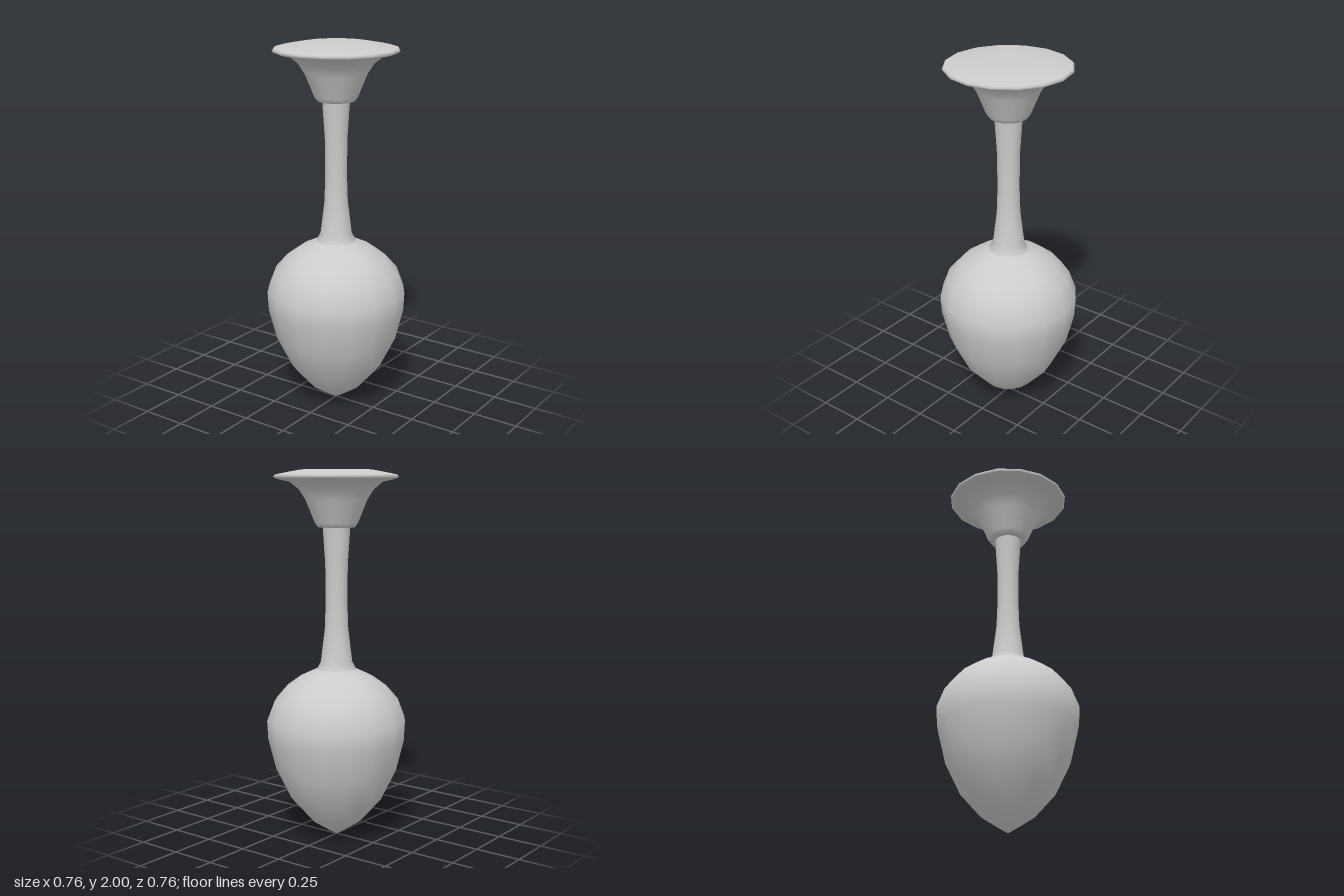
import * as THREE from 'three';

const SIDES = 16;

export function createModel() {
  const group = new THREE.Group();
  const material = new THREE.MeshStandardMaterial({ color: 0xcccccc, side: THREE.DoubleSide });

  // Turns a [radius, height] profile around the vertical axis
  const turned = (name, profile) => {
    const points = profile.map(([r, y]) => new THREE.Vector2(r, y));
    const mesh = new THREE.Mesh(new THREE.LatheGeometry(points, SIDES), material);
    mesh.name = name;
    group.add(mesh);
  };

  // Pointed egg-shaped body
  turned('bulb', [
    [0, 0], [0.05, 0.03], [0.14, 0.09], [0.25, 0.215], [0.333, 0.385], [0.375, 0.555],
    [0.38, 0.655], [0.34, 0.76], [0.275, 0.835], [0.2, 0.89], [0.106, 0.935],
  ]);

  // Slender waisted stem
  turned('neck', [
    [0.106, 0.935], [0.086, 0.975], [0.064, 1.155], [0.059, 1.3], [0.061, 1.5], [0.074, 1.695],
  ]);

  // Trumpet-shaped flare with a thin rim
  turned('flare', [
    [0.074, 1.695], [0.1, 1.697], [0.116, 1.72], [0.165, 1.84], [0.2, 1.895], [0.25, 1.935],
    [0.3, 1.945], [0.327, 1.953], [0.334, 1.962], [0.327, 1.971],
  ]);

  // Shallow cap rising to a flat centre
  turned('cap', [[0.327, 1.971], [0.285, 1.98], [0.19, 1.998], [0.1, 2], [0, 2]]);

  return group;
}
